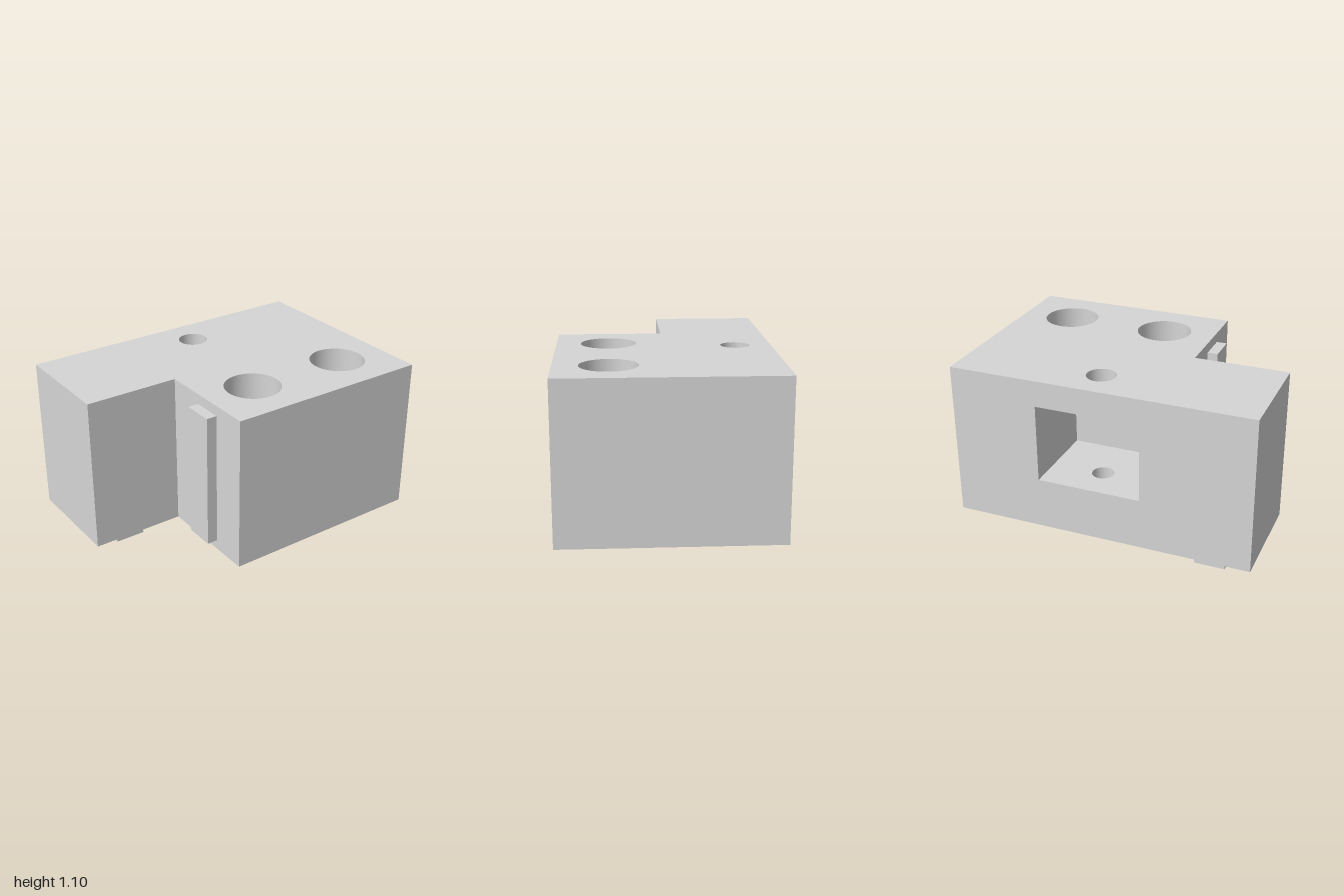
import * as THREE from 'three';

// Main levels of the block
const BOTTOM = 0.072, TOP = 1.104;
const POCKET = { x0: -0.275, x1: 0.415, y0: 0.412, y1: 0.932, z0: -0.704, z1: -0.125 };
const SEAT = 0.41; // floor of the counterbores
const BOLTS = [[-0.036, 0.362], [0.655, 0.362]];
const PIN = [0.068, -0.468];
const HEAD_R = 0.182, BOLT_R = 0.097, PIN_TOP_R = 0.096, PIN_LOW_R = 0.072;
// L-shaped plan as [x, z]
const PLAN = [[-1, 0], [-0.38, 0], [-0.38, 0.704], [1, 0.704], [1, -0.704], [-1, -0.704]];

export function createModel() {
  const group = new THREE.Group();
  const grey = new THREE.MeshStandardMaterial({ color: 0xd6d6d6, side: THREE.DoubleSide });
  grey.name = 'lightGrey';

  const add = (name, geometry, x = 0, y = 0, z = 0) => {
    const mesh = new THREE.Mesh(geometry, grey);
    mesh.name = name;
    mesh.position.set(x, y, z);
    group.add(mesh);
    return mesh;
  };

  // Level face from a plan outline, with round holes [x, z, radius]
  const level = (name, points, y, holes) => {
    const shape = new THREE.Shape(points.map(([x, z]) => new THREE.Vector2(x, -z)));
    for (const [x, z, r] of holes) {
      shape.holes.push(new THREE.Path().absarc(x, -z, r, 0, Math.PI * 2, true));
    }
    add(name, new THREE.ShapeGeometry(shape, 24).rotateX(-Math.PI / 2), 0, y, 0);
  };

  // Upright face between two plan points
  const wall = (name, [x0, z0], [x1, z1], y0, y1) => {
    const plane = new THREE.PlaneGeometry(Math.hypot(x1 - x0, z1 - z0), y1 - y0);
    const mesh = add(name, plane, (x0 + x1) / 2, (y0 + y1) / 2, (z0 + z1) / 2);
    mesh.rotation.y = Math.atan2(z0 - z1, x1 - x0);
  };

  // Round bore wall
  const bore = (name, [x, z], r, y0, y1) =>
    add(name, new THREE.CylinderGeometry(r, r, y1 - y0, 48, 1, true), x, (y0 + y1) / 2, z);

  // Block skin: top, bottom and plain sides
  level('topFace', PLAN, TOP, [...BOLTS.map((b) => [...b, HEAD_R]), [...PIN, PIN_TOP_R]]);
  level('bottomFace', PLAN, BOTTOM, [...BOLTS.map((b) => [...b, BOLT_R]), [...PIN, PIN_LOW_R]]);
  PLAN.forEach((p, i) => {
    if (i !== 4) wall('sideFace', p, PLAN[(i + 1) % PLAN.length], BOTTOM, TOP);
  });

  // Back face with the pocket opening
  const { x0, x1, y0, y1, z0, z1 } = POCKET;
  const rectangle = (a, b, c, d) =>
    [[a, c], [b, c], [b, d], [a, d]].map(([x, y]) => new THREE.Vector2(x, y));
  const back = new THREE.Shape(rectangle(-1, 1, BOTTOM, TOP));
  back.holes.push(new THREE.Path(rectangle(x0, x1, y0, y1)));
  add('backFace', new THREE.ShapeGeometry(back), 0, 0, z0);

  // Pocket interior
  const pocketPlan = [[x0, z1], [x1, z1], [x1, z0], [x0, z0]];
  level('pocketFloor', pocketPlan, y0, [[...PIN, PIN_LOW_R]]);
  level('pocketCeiling', pocketPlan, y1, [[...PIN, PIN_TOP_R]]);
  wall('pocketEnd', [x0, z1], [x1, z1], y0, y1);
  for (const x of [x0, x1]) wall('pocketSide', [x, z0], [x, z1], y0, y1);

  // Vertical hole through the pocket
  bore('pinHoleUpper', PIN, PIN_TOP_R, y1, TOP);
  bore('pinHoleLower', PIN, PIN_LOW_R, BOTTOM, y0);

  // Counterbored bolt holes
  for (const b of BOLTS) {
    bore('counterbore', b, HEAD_R, SEAT, TOP);
    bore('boltHole', b, BOLT_R, BOTTOM, SEAT);
    const seat = new THREE.RingGeometry(BOLT_R, HEAD_R, 48).rotateX(-Math.PI / 2);
    add('boltSeat', seat, b[0], SEAT, b[1]);
  }

  // Locating ribs on the underside and in the notch
  add('bottomRib', new THREE.BoxGeometry(0.2, 0.072, 0.568), -0.72, 0.036, -0.352);
  add('sideRib', new THREE.BoxGeometry(0.07, 0.9, 0.2), -0.415, 0.587, 0.362);

  return group;
}
